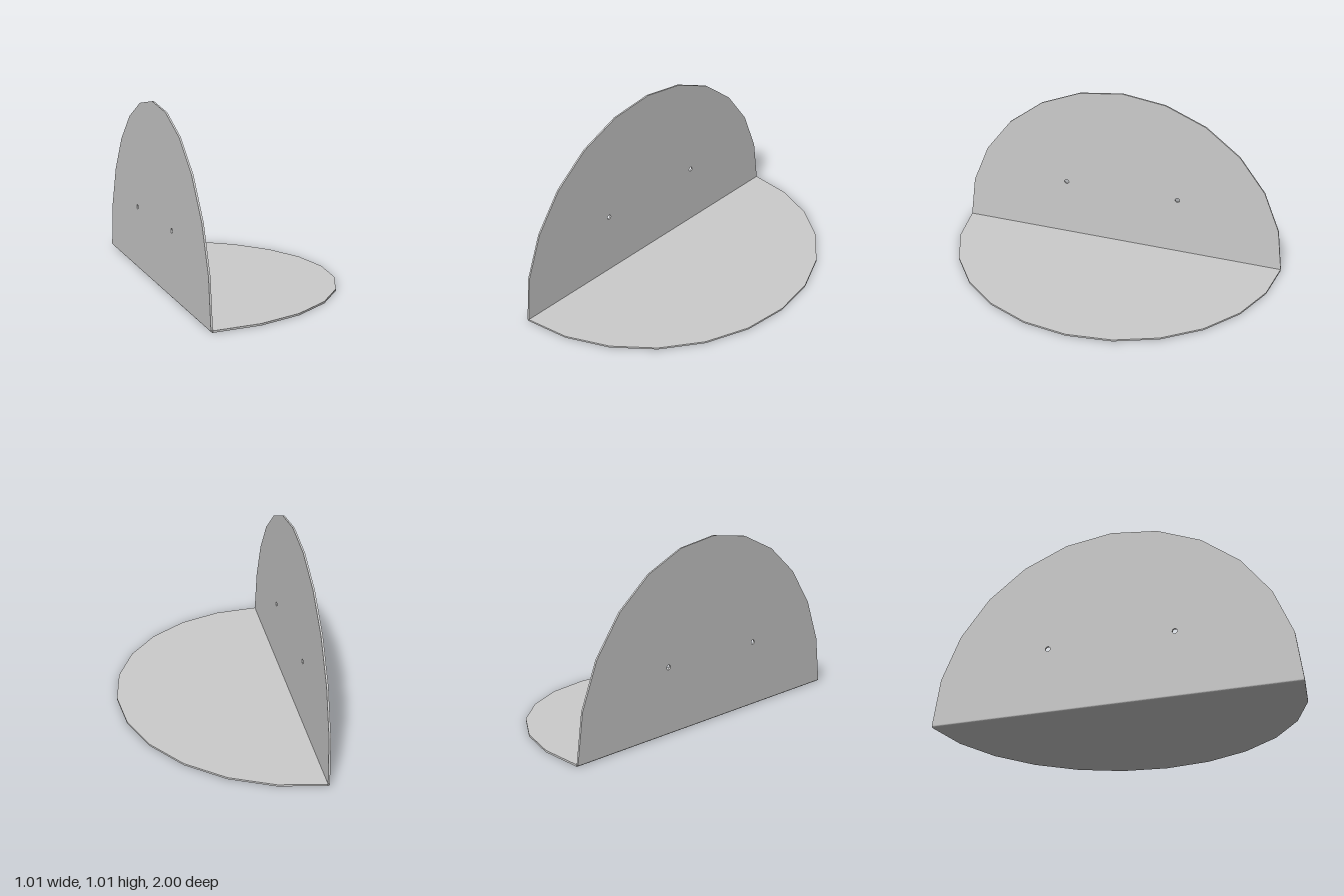
import * as THREE from 'three';

const T = 0.01;          // sheet thickness
const BEND_X = -0.495;   // inner line of the bend

// Faceted half disc of radius 1, straight edge along local x
function halfDisc(holes = []) {
  const points = [];
  for (let i = 0; i <= 12; i++) {
    const a = (i / 12) * Math.PI;
    points.push(new THREE.Vector2(Math.cos(a), Math.sin(a)));
  }
  const shape = new THREE.Shape(points);
  for (const [x, y] of holes) {
    const hole = new THREE.Path();
    hole.absarc(x, y, 0.014, 0, Math.PI * 2, true);
    shape.holes.push(hole);
  }
  return new THREE.ExtrudeGeometry(shape, { depth: T, bevelEnabled: false, curveSegments: 6 });
}

export function createModel() {
  const group = new THREE.Group();
  group.name = 'halfRoundBracket';
  const material = new THREE.MeshStandardMaterial({ color: 0xcccccc, flatShading: true });
  const add = (geometry, name) => {
    const mesh = new THREE.Mesh(geometry, material);
    mesh.name = name;
    group.add(mesh);
  };

  // Upright plate with two screw holes
  const wall = halfDisc([[-0.35, 0.355], [0.35, 0.355]]);
  wall.rotateY(Math.PI / 2).translate(BEND_X - T, T, 0);
  add(wall, 'wallPlate');

  // Horizontal shelf reaching out to +x
  const shelf = halfDisc();
  shelf.applyMatrix4(new THREE.Matrix4().makeBasis(
    new THREE.Vector3(0, 0, 1), new THREE.Vector3(1, 0, 0), new THREE.Vector3(0, 1, 0)));
  shelf.translate(BEND_X, 0, 0);
  add(shelf, 'shelfPlate');

  // Rounded bend joining the two plates
  const corner = new THREE.Shape();
  corner.moveTo(0, 0);
  corner.absarc(0, 0, T, Math.PI, Math.PI * 1.5, false);
  corner.closePath();
  const bend = new THREE.ExtrudeGeometry(corner, { depth: 2, bevelEnabled: false, curveSegments: 4 });
  bend.translate(BEND_X, T, -1);
  add(bend, 'bend');

  return group;
}
